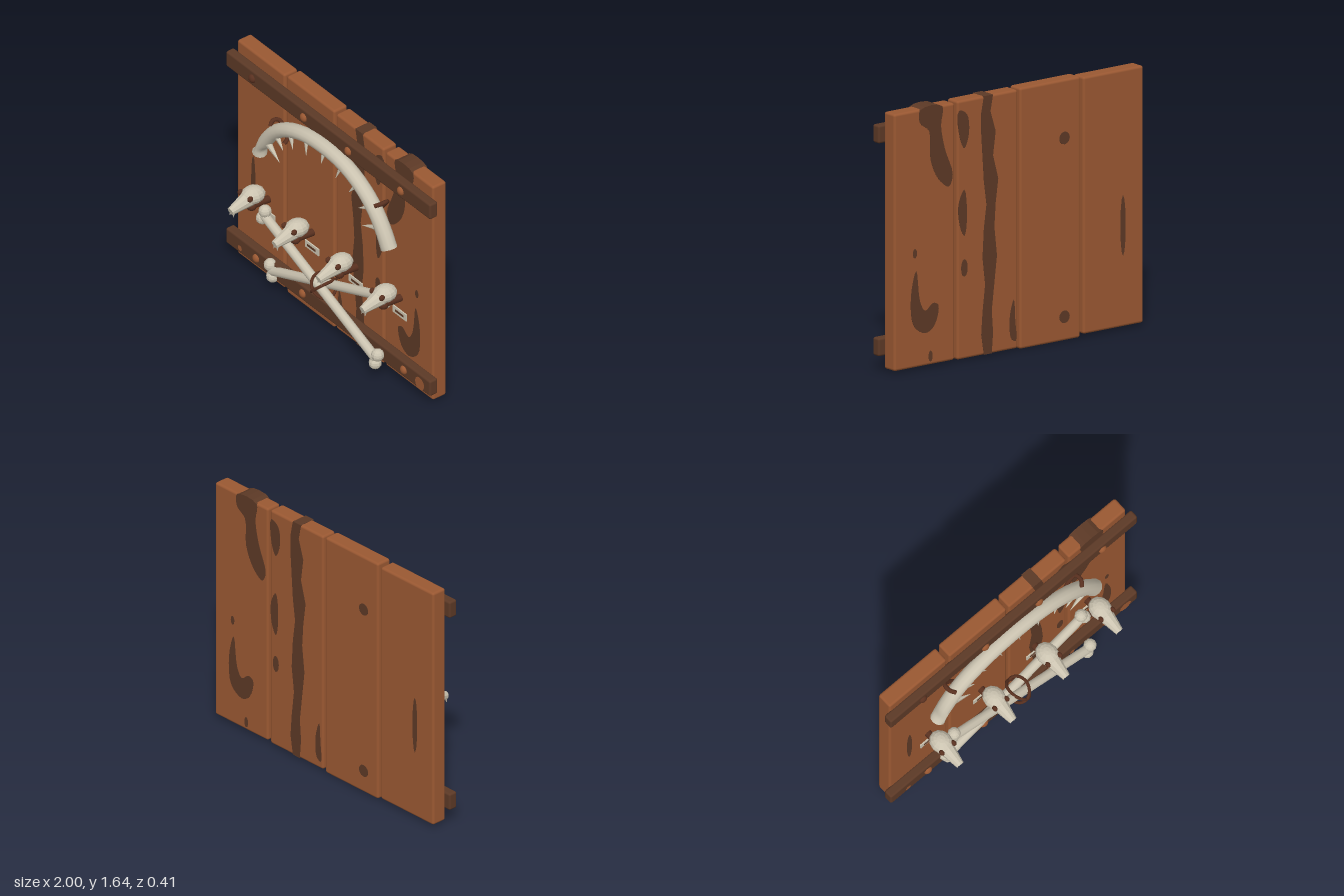
import * as THREE from 'three';
import { toCreasedNormals } from 'three/addons/utils/BufferGeometryUtils.js';
import { RoundedBoxGeometry } from 'three/addons/geometries/RoundedBoxGeometry.js';

const mat = (name, color) => Object.assign(new THREE.MeshStandardMaterial({ color }), { name });
const V = (x, y, z) => new THREE.Vector3(x, y, z);

export function createModel() {
  const root = new THREE.Group();
  root.name = 'boneTrophyDoor';
  const wood = mat('wood', 0x9a5832);
  const darkWood = mat('darkWood', 0x5c3926);
  const bone = mat('bone', 0xcbc3b0);
  const leather = mat('leather', 0x5a3120);

  const add = (name, geo, material, pos = [0, 0, 0], parent = root) => {
    const m = new THREE.Mesh(geo, material);
    m.name = name;
    m.position.set(...pos);
    parent.add(m);
    return m;
  };
  const flat = (geo) => {
    const g = geo.toNonIndexed();
    g.computeVertexNormals();
    return g;
  };
  // Cylinder or cone running from point a to point b
  const rod = (name, a, b, ra, rb, sides, material, parent = root) => {
    const d = b.clone().sub(a);
    const m = add(name, new THREE.CylinderGeometry(rb, ra, d.length(), sides), material,
      a.clone().add(b).multiplyScalar(0.5).toArray(), parent);
    m.quaternion.setFromUnitVectors(V(0, 1, 0), d.normalize());
    return m;
  };

  // Planks: x0, x1, y0, y1
  [[-0.96, -0.497, 0.015, 1.625], [-0.475, -0.01, 0, 1.635],
    [0.007, 0.472, 0.01, 1.63], [0.492, 0.957, 0.015, 1.625]].forEach(([x0, x1, y0, y1]) =>
    add('plank', new RoundedBoxGeometry(x1 - x0, y1 - y0, 0.105, 2, 0.016), wood,
      [(x0 + x1) / 2, (y0 + y1) / 2, -0.1475]));

  // Grain stains, reaching through the planks to both faces
  const stain = (shape) => add('grainStain',
    new THREE.ExtrudeGeometry(shape, { depth: 0.109, bevelEnabled: false, curveSegments: 6 }), darkWood, [0, 0, -0.202]);
  const blob = (pts) => {
    const curve = new THREE.CatmullRomCurve3(pts.map(([x, y]) => V(x, y, 0)), true);
    stain(new THREE.Shape(curve.getPoints(pts.length * 4).map((p) => new THREE.Vector2(p.x, p.y))));
  };
  const oval = (x, y, rx, ry) => stain(new THREE.Shape().absellipse(x, y, rx, ry, 0, Math.PI * 2));

  // Long wavering streak on the third plank
  const streak = [[0.2, 0.27, 1.631], [0.22, 0.29, 1.53], [0.18, 0.29, 1.4], [0.2, 0.28, 1.25], [0.16, 0.27, 1.1],
    [0.18, 0.25, 0.95], [0.19, 0.27, 0.8], [0.17, 0.28, 0.62], [0.19, 0.26, 0.45], [0.21, 0.28, 0.28],
    [0.2, 0.29, 0.14], [0.21, 0.27, 0.012]];
  stain(new THREE.Shape([
    ...streak.map(([a, , y]) => new THREE.Vector2(a, y)),
    ...streak.slice().reverse().map(([, b, y]) => new THREE.Vector2(b, y))]));
  blob([[0.4, 1.54], [0.46, 1.57], [0.455, 1.4], [0.42, 1.33], [0.385, 1.42]]);
  blob([[0.42, 1.07], [0.46, 1.0], [0.455, 0.85], [0.42, 0.78], [0.4, 0.9]]);
  oval(0.42, 0.58, 0.025, 0.055);
  blob([[0.04, 0.32], [0.07, 0.22], [0.06, 0.08], [0.025, 0.06], [0.03, 0.2]]);
  // Fourth plank
  blob([[0.59, 1.622], [0.76, 1.622], [0.76, 1.54], [0.69, 1.48], [0.68, 1.3], [0.62, 1.17],
    [0.54, 1.11], [0.51, 1.18], [0.57, 1.35], [0.6, 1.5]]);
  blob([[0.79, 0.62], [0.83, 0.47], [0.81, 0.28], [0.72, 0.22], [0.65, 0.26], [0.62, 0.38],
    [0.66, 0.4], [0.72, 0.36], [0.76, 0.42]]);
  oval(0.8, 0.73, 0.015, 0.03);
  oval(0.68, 0.07, 0.015, 0.035);
  // First and second planks
  oval(-0.8, 0.65, 0.02, 0.19);
  oval(-0.35, 1.27, 0.04, 0.04);
  oval(-0.35, 0.15, 0.04, 0.04);

  // Battens with round nails
  [[1.485, [-0.74, -0.235, 0.2, 0.715]], [0.152, [-0.7, -0.245, 0.27, 0.745]]].forEach(([y, xs]) => {
    add('batten', new RoundedBoxGeometry(2, 0.114, 0.062, 2, 0.014), darkWood, [0, y, -0.069]);
    xs.forEach((x, i) => {
      const nail = add('nail', new THREE.SphereGeometry(0.029, 12, 8), y > 1 && !i ? leather : wood, [x, y, -0.038]);
      nail.scale.z = 0.7;
    });
  });
  [[-0.86, 0.135, 0.02], [0.9, 0.14, 0.045], [0.47, 0.12, 0.02]].forEach(([x, y, r]) =>
    add('battenWear', new THREE.CircleGeometry(r, 12), wood, [x, y, -0.037]));

  // Curved jaw bone: x, y, half width in its plane
  const jaw = [[-0.64, 1.0, 0.045], [-0.622, 1.045, 0.026], [-0.585, 1.11, 0.042], [-0.5, 1.225, 0.046],
    [-0.38, 1.318, 0.046], [-0.2, 1.388, 0.045], [0, 1.41, 0.046], [0.2, 1.388, 0.045],
    [0.38, 1.31, 0.046], [0.5, 1.21, 0.049], [0.58, 1.1, 0.053], [0.627, 1.01, 0.057]];
  const path = new THREE.CatmullRomCurve3(jaw.map(([x, y]) => V(x, y, 0)));
  const widths = new THREE.CatmullRomCurve3(jaw.map(([, , w], i) => V(i, w, 0)));
  const N = 33, S = 12, pos = [], idx = [];
  for (let i = 0; i <= N; i++) {
    const c = path.getPoint(i / N), t = path.getTangent(i / N), w = widths.getPoint(i / N).y;
    for (let j = 0; j < S; j++) {
      const a = (j / S) * Math.PI * 2, r = w * Math.cos(a);
      pos.push(c.x - t.y * r, c.y + t.x * r, -0.017 + 0.05 * Math.sin(a));
      const k = i * S + j, n = i * S + (j + 1) % S;
      if (i < N) idx.push(k, n, k + S, n, n + S, k + S);
    }
  }
  for (let j = 1; j < S - 1; j++) idx.push(0, j + 1, j, N * S, N * S + j, N * S + j + 1);
  const jawGeo = new THREE.BufferGeometry();
  jawGeo.setAttribute('position', new THREE.Float32BufferAttribute(pos, 3));
  jawGeo.setIndex(idx);
  add('jawBone', toCreasedNormals(jawGeo, 0.7), bone);

  // Teeth along the inside of the jaw: base, tip, radius
  const tooth = (x0, y0, x1, y1, r) => rod('tooth', V(x0, y0, -0.01), V(x1, y1, 0.015), r, 0.001, 7, bone);
  tooth(0, 1.38, 0, 1.295, 0.017);
  [-1, 1].forEach((s) => {
    tooth(s * 0.56, 1.13, s * 0.405, 1.07, 0.026);
    tooth(s * 0.47, 1.235, s * 0.37, 1.18, 0.023);
    tooth(s * 0.33, 1.325, s * 0.275, 1.245, 0.021);
    tooth(s * 0.175, 1.38, s * 0.145, 1.275, 0.018);
    // Strap holding the jaw to the planks
    const strap = new THREE.CatmullRomCurve3([V(s * 0.51, 1.27, 0.005), V(s * 0.535, 1.285, -0.03),
      V(s * 0.53, 1.28, -0.078), V(s * 0.45, 1.18, -0.08), V(s * 0.435, 1.165, -0.04)]);
    add('jawStrap', new THREE.TubeGeometry(strap, 16, 0.014, 7), leather);
  });

  // Skulls on pegs, each with a name plate below
  [[-0.65, 0], [-0.22, 0], [0.21, -0.01], [0.64, 0.008]].forEach(([x, y]) => {
    const g = new THREE.Group();
    g.name = 'skullOnPeg';
    g.position.set(x, y, 0);
    root.add(g);
    const head = add('cranium', flat(new THREE.SphereGeometry(1, 12, 9)), bone, [0, 0.692, 0.027], g);
    head.scale.set(0.068, 0.056, 0.082);
    const snout = rod('snout', V(0, 0.68, 0.06), V(0, 0.642, 0.2), 0.054, 0.026, 10, bone, g);
    snout.geometry = toCreasedNormals(snout.geometry, 0.4);
    rod('peg', V(0, 0.603, -0.1), V(0, 0.617, 0.05), 0.024, 0.024, 9, leather, g);
    add('pegTip', new THREE.SphereGeometry(0.033, 10, 7), leather, [0, 0.612, 0.038], g);
    [-1, 1].forEach((s) => {
      const eye = add('eyeSocket', new THREE.SphereGeometry(0.02, 10, 7), leather, [s * 0.048, 0.71, 0.086], g);
      eye.scale.x = 0.75;
      rod('fang', V(s * 0.016, 0.63, 0.188), V(s * 0.016, 0.602, 0.192), 0.008, 0.001, 6, bone, g);
    });
    add('namePlate', new THREE.BoxGeometry(0.132, 0.05, 0.008), bone, [0, 0.488, -0.09], g);
    add('plateSlot', new THREE.BoxGeometry(0.08, 0.014, 0.004), darkWood, [0, 0.488, -0.085], g);
  });

  // Crossed long bones with two knobs at each end
  [[1, 0.02], [-1, -0.037]].forEach(([s, z]) => {
    rod('longBone', V(-s * 0.55, 0.593, z), V(s * 0.55, 0.147, z), 0.031, 0.031, 10, bone);
    [[-0.54, 0.628], [-0.566, 0.562], [0.562, 0.185], [0.538, 0.113]].forEach(([x, y]) =>
      add('boneKnob', flat(new THREE.SphereGeometry(0.041, 10, 8)), bone, [s * x, y, z]));
    // Lashing loop around the crossing
    const loop = add('lashing', new THREE.TorusGeometry(0.083, 0.01, 7, 24), leather, [0, 0.37, -0.006]);
    loop.rotation.set(Math.PI / 2, s * Math.PI / 4, 0);
  });

  return root;
}
